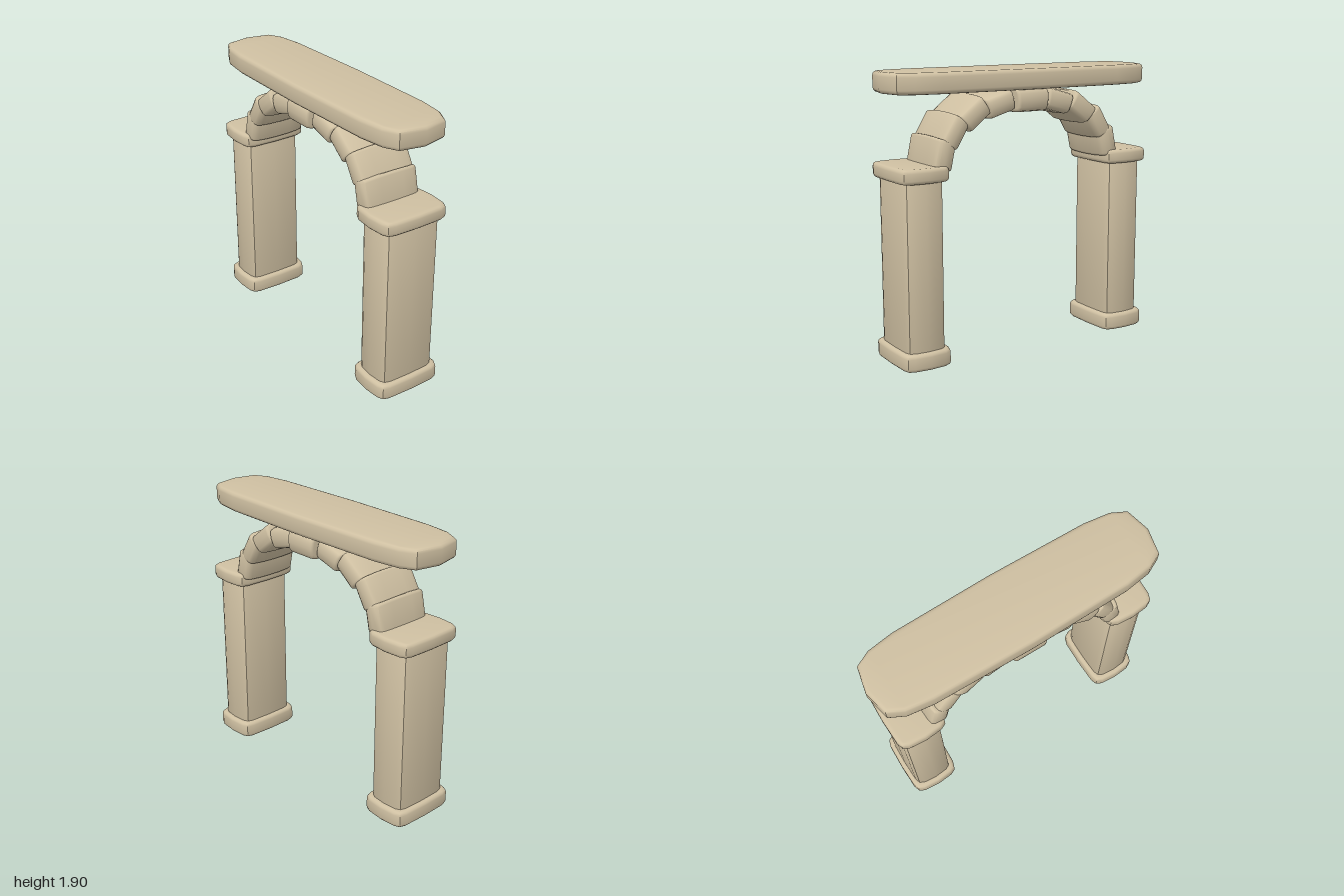
import * as THREE from 'three';
import { toCreasedNormals } from 'three/addons/utils/BufferGeometryUtils.js';

const stone = new THREE.MeshStandardMaterial({ color: 0xcfc0a2 });
stone.name = 'sandstone';

// Mirrors a quarter outline, running from the +x axis to the +y axis, into a closed shape
function mirroredShape(quarter, hx, hy) {
  const q = quarter.map(([x, y]) => [x * hx, y * hy]);
  const half = [...q, ...q.slice(0, -1).reverse().map(([x, y]) => [-x, y])];
  const pts = [...half, ...half.slice(1, -1).reverse().map(([x, y]) => [x, -y])];
  return new THREE.Shape(pts.map(([x, y]) => new THREE.Vector2(x, y)));
}

// Extrudes a shape to a total depth centred on zero, with softened edges
function softExtrude(shape, depth, bevel) {
  return new THREE.ExtrudeGeometry(shape, {
    depth: depth - 2 * bevel, steps: 1, bevelEnabled: true, bevelSize: bevel,
    bevelThickness: bevel, bevelOffset: -bevel, bevelSegments: 3,
  }).translate(0, 0, -depth / 2 + bevel);
}

function addMesh(parent, name, geometry) {
  const mesh = new THREE.Mesh(toCreasedNormals(geometry, 0.75), stone);
  mesh.name = name;
  parent.add(mesh);
  return mesh;
}

const pillarPlan = [[1, 0], [0.97, 0.7], [0.88, 0.88], [0.65, 0.96], [0, 1]];
const slabPlan = [[1, 0], [0.962, 0.66], [0.86, 0.86], [0.68, 0.955], [0, 1]];

// Upright stone with a worn plan outline, from y0 to y1
function planStone(parent, name, plan, hx, hz, y0, y1, bevel) {
  const geo = softExtrude(mirroredShape(plan, hx, hz), y1 - y0, bevel);
  geo.rotateX(-Math.PI / 2).translate(0, (y0 + y1) / 2, 0);
  return addMesh(parent, name, geo);
}

const sideProfile = [[1, 0], [0.98, 0.55], [0.92, 0.82], [0.78, 0.94], [0.4, 0.99], [0, 1]];

// Wedge stone: wider on its outer face and bulging at mid depth
function wedgeStone(parent, name, width, height, depth, taper, bulge) {
  const geo = softExtrude(mirroredShape(sideProfile, depth / 2, height / 2), width, 0.018);
  geo.rotateY(Math.PI / 2);
  const p = geo.attributes.position;
  for (let i = 0; i < p.count; i++) {
    const v = p.getY(i) / (height / 2);
    const w = p.getZ(i) / (depth / 2);
    p.setX(i, p.getX(i) * (1 + taper * v + bulge * (1 - w * w)));
  }
  return addMesh(parent, name, geo);
}

export function createModel() {
  const model = new THREE.Group();
  model.name = 'stoneArch';

  // Pillars with base and capital
  for (const side of [-1, 1]) {
    const pillar = new THREE.Group();
    pillar.name = side > 0 ? 'leftPillar' : 'rightPillar';
    pillar.position.x = side * 0.795;
    planStone(pillar, 'base', pillarPlan, 0.175, 0.25, 0, 0.117, 0.025);
    planStone(pillar, 'shaft', pillarPlan, 0.142, 0.215, 0.08, 1.25, 0.01);
    planStone(pillar, 'capital', pillarPlan, 0.178, 0.253, 1.213, 1.31, 0.025);
    model.add(pillar);
  }

  // Arch stones: x, y, tilt in degrees, width, height
  const arch = new THREE.Group();
  arch.name = 'arch';
  const stones = [
    [0.23, 1.672, 16, 0.195, 0.15],
    [0.42, 1.617, 38, 0.195, 0.15],
    [0.566, 1.508, 59, 0.195, 0.135],
    [0.645, 1.37, 78, 0.19, 0.14],
  ];
  for (const side of [-1, 1]) {
    stones.forEach(([x, y, tilt, w, h], i) => {
      const name = `${side > 0 ? 'left' : 'right'}ArchStone${i + 1}`;
      const mesh = wedgeStone(arch, name, w, h, 0.425, 0.07, 0.1);
      mesh.position.set(side * x, y, 0);
      mesh.rotation.z = THREE.MathUtils.degToRad(-side * tilt);
    });
  }
  wedgeStone(arch, 'keystone', 0.235, 0.165, 0.475, 0.04, 0.03).position.y = 1.692;
  model.add(arch);

  // Top slab
  planStone(model, 'lintel', slabPlan, 1, 0.258, 1.762, 1.897, 0.028);
  return model;
}
